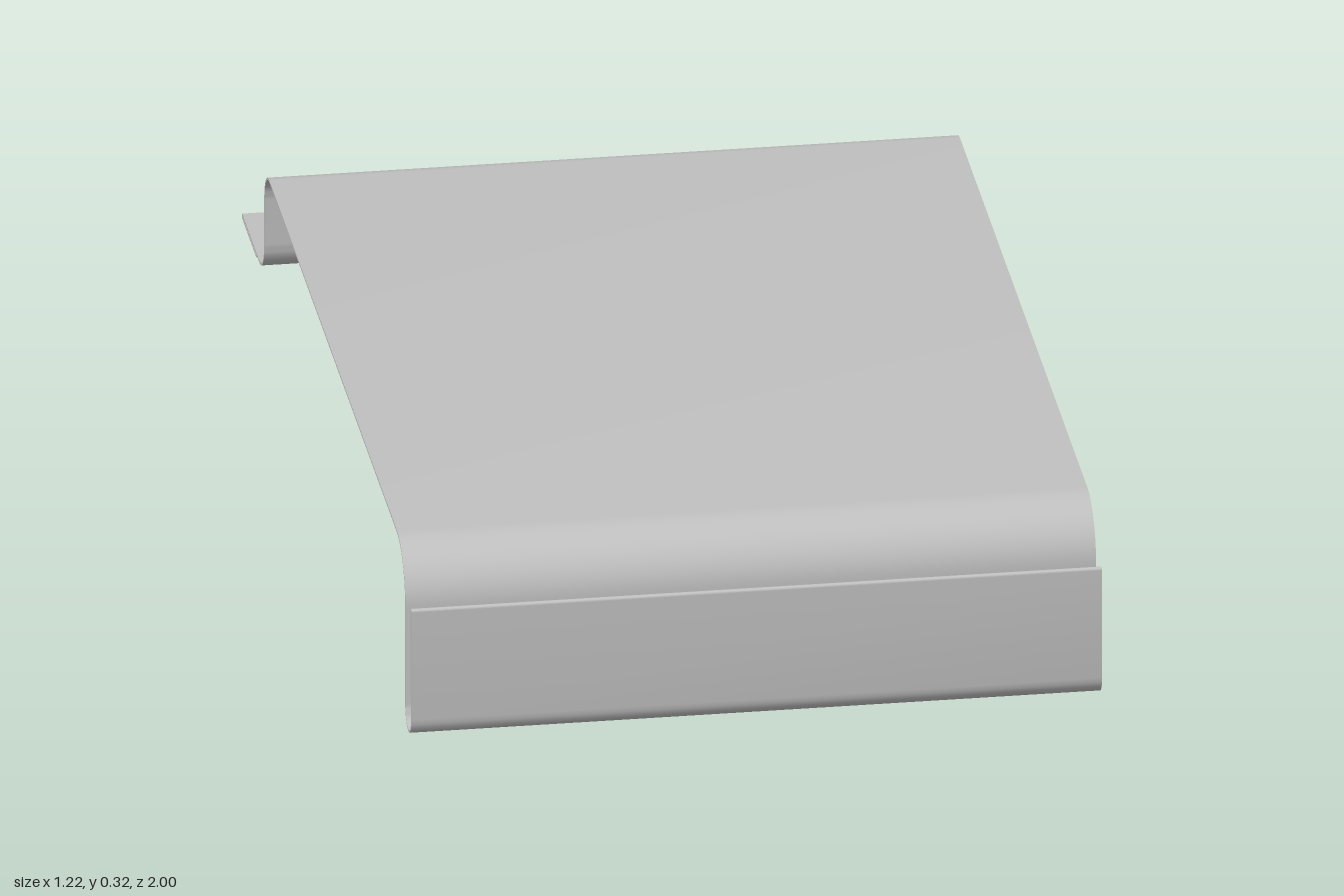
import * as THREE from 'three';
import { toCreasedNormals } from 'three/addons/utils/BufferGeometryUtils.js';

const WIDTH = 1.22;
const THICKNESS = 0.004;

// Centre line of the bent sheet, drawn as (z, y) from the front hem to the back hem
function sheetPath() {
  const PI = Math.PI;
  const p = new THREE.Path();
  p.moveTo(0.992, 0.08);
  p.lineTo(0.992, 0.243);
  p.absarc(0.995, 0.243, 0.003, PI, 0, true);             // front hem fold
  p.absarc(0.963, 0.037, 0.035, 0, -PI, true);            // U channel under the front lip
  p.absarc(0.828, 0.223, 0.1, 0, PI / 2, false);          // large front bend
  p.absarc(-0.675, 0.263, 0.06, PI / 2, PI, false);       // upper back bend
  p.absarc(-0.795, 0.177, 0.06, 0, -PI / 2, true);        // lower back bend
  p.absarc(-0.995, 0.114, 0.003, PI / 2, 1.5 * PI, false); // back hem fold
  p.lineTo(-0.83, 0.111);
  return p.getPoints(6);
}

// Give the centre line a thickness by offsetting it to both sides
function thicken(points, thickness) {
  const last = points.length - 1;
  const offset = (side) => points.map((pt, i) => {
    const a = points[Math.max(i - 1, 0)];
    const b = points[Math.min(i + 1, last)];
    const before = pt.clone().sub(a).normalize();
    const after = b.clone().sub(pt).normalize();
    const t = before.add(after).normalize();
    return new THREE.Vector2(pt.x - t.y * side, pt.y + t.x * side);
  });
  return new THREE.Shape([...offset(thickness / 2), ...offset(-thickness / 2).reverse()]);
}

export function createModel() {
  const metal = new THREE.MeshStandardMaterial({ color: 0xc0c0c0 });
  metal.name = 'sheetMetal';

  // Profile extruded across the full width
  const geometry = new THREE.ExtrudeGeometry(thicken(sheetPath(), THICKNESS), {
    depth: WIDTH, bevelEnabled: false, steps: 1,
  });
  geometry.rotateY(-Math.PI / 2);
  geometry.translate(WIDTH / 2, 0, 0);

  const sheet = new THREE.Mesh(toCreasedNormals(geometry, 0.6), metal);
  sheet.name = 'bentSheet';

  const group = new THREE.Group();
  group.name = 'hemmedPanel';
  group.add(sheet);
  return group;
}
